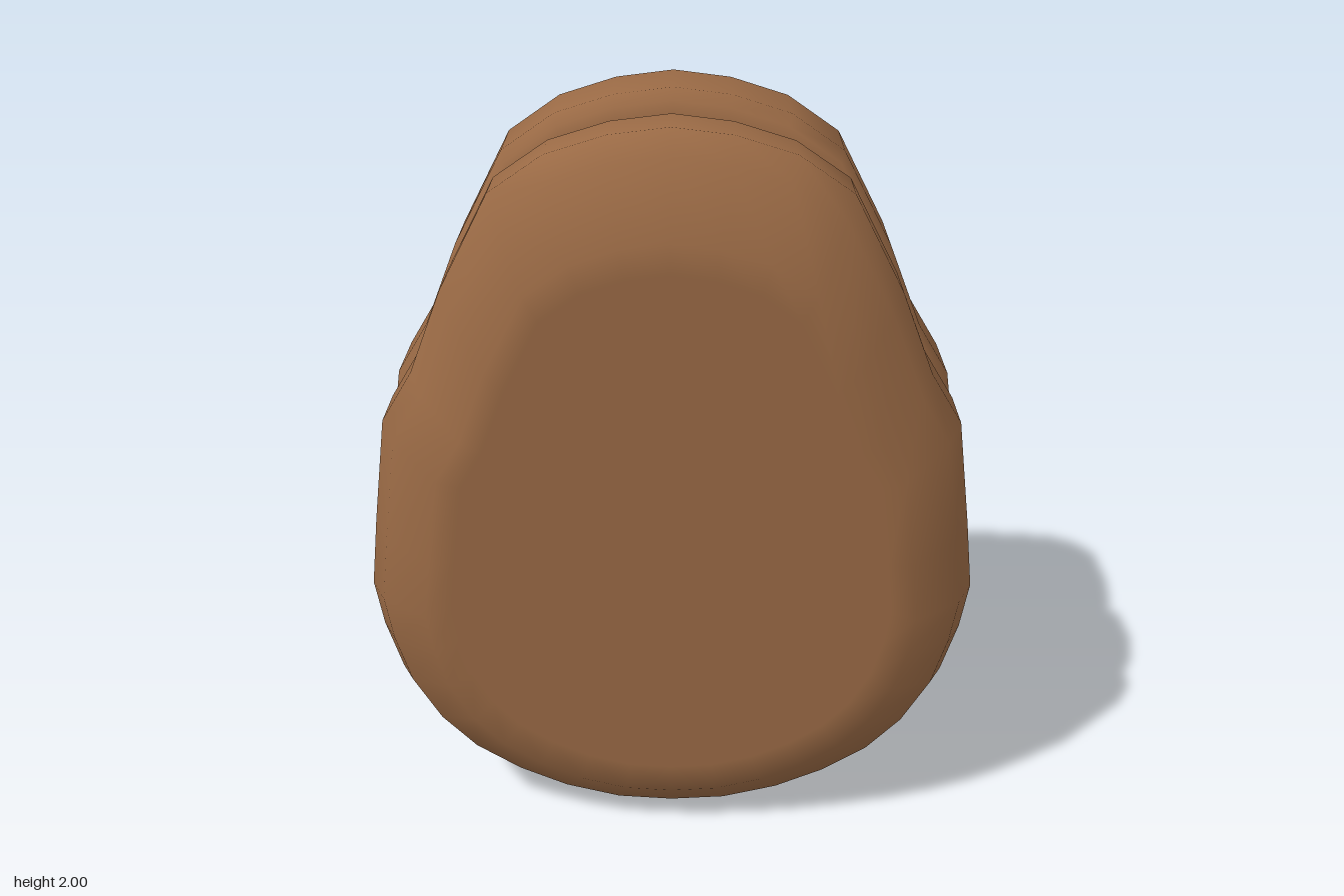
import * as THREE from 'three';
import { RoundedBoxGeometry } from 'three/addons/geometries/RoundedBoxGeometry.js';

const brown = new THREE.MeshStandardMaterial({ color: 0x9a6a45 });
const pink = new THREE.MeshStandardMaterial({ color: 0x8a0f45, side: THREE.DoubleSide });
const ivory = new THREE.MeshStandardMaterial({ color: 0xe8ddd3 });

// Right half of the egg-shaped outline, from the top down
const half = [
  [0, 2], [0.16, 1.98], [0.32, 1.93], [0.465, 1.83], [0.6, 1.57], [0.69, 1.34],
  [0.775, 1.2], [0.815, 0.9], [0.838, 0.7], [0.815, 0.57], [0.77, 0.43], [0.69, 0.3],
  [0.59, 0.2], [0.46, 0.12], [0.32, 0.06], [0.16, 0.02], [0, 0.01],
];
const outline = [...half, ...half.slice(1, -1).reverse().map(([x, y]) => [-x, y])];

// Scale an outline point to a width factor and a vertical range
const fit = ([x, y], sx, y0, y1) => [x * sx, y0 + (y - 0.01) / 1.99 * (y1 - y0)];

// Each shell lies between an inner (biting) surface and an outer surface
const shells = {
  front: {
    flip: false,
    inner: y => 0.02 + Math.max(0, y - 0.7) * 0.096,
    outer: y => 0.425 + (y - 0.12) * 0.05,
    bite: () => 0.027,
    // [width factor, bottom y, top y, depth from inner (0) to outer (1)]
    rings: [
      [0, 0.92, 0.92, 1], [0.4, 0.5, 1.34, 1], [0.7, 0.2, 1.64, 1], [0.78, 0.12, 1.72, 1],
      [0.93, 0.035, 1.915, 0.8], [0.985, 0.005, 1.97, 0.56], [0.99, 0.005, 1.97, 0.1],
      [0.97, 0.02, 1.95, 0.02], [0.945, 0.04, 1.92, 0], [0.915, 0.07, 1.88, 0],
    ],
  },
  back: {
    flip: true,
    inner: y => 0.02 - Math.max(0, y - 0.7) * 0.048,
    outer: () => -0.51,
    bite: y => Math.max(0.01, 0.02 + (y - 1.3) * 0.058),
    rings: [
      [0, 0.945, 0.945, 1], [0.4, 0.5, 1.37, 1], [0.74, 0.21, 1.68, 1], [0.82, 0.14, 1.75, 1],
      [0.955, 0.05, 1.95, 0.81], [1, 0.018, 2, 0.55], [1, 0.015, 1.99, 0.09],
      [0.975, 0.018, 1.96, 0.02], [0.945, 0.04, 1.92, 0], [0.915, 0.07, 1.88, 0],
    ],
  },
};
const lining = [
  [0.915, 0.07, 1.88, 0], [0.86, 0.12, 1.82, 0.04], [0.75, 0.22, 1.7, 0.08],
  [0.4, 0.5, 1.4, 0.08], [0, 0.95, 0.95, 0.08],
];

// Skin a stack of rings
function loft(rings, shell) {
  const n = outline.length, pos = [], index = [];
  for (const [sx, y0, y1, t] of rings)
    for (const p of outline) {
      const [x, y] = fit(p, sx, y0, y1);
      pos.push(x, y, THREE.MathUtils.lerp(shell.inner(y), shell.outer(y), t));
    }
  const tri = (a, b, c) => shell.flip ? index.push(a, c, b) : index.push(a, b, c);
  for (let i = 0; i < rings.length - 1; i++)
    for (let j = 0; j < n; j++) {
      const k = (j + 1) % n, a = i * n + j, b = i * n + k, c = a + n, d = b + n;
      if (rings[i][0] > 0) tri(a, b, c);
      if (rings[i + 1][0] > 0) tri(b, d, c);
    }
  const g = new THREE.BufferGeometry();
  g.setAttribute('position', new THREE.Float32BufferAttribute(pos, 3));
  g.setIndex(index);
  g.computeVertexNormals();
  return g;
}

// Row of rounded teeth following an arch inside the rim
function teethRow(shell) {
  const row = new THREE.Group();
  const side = half.slice(0, 8).map(p => fit(p, 0.83, 0.12, 1.86));
  const arch = [...side.slice(1).reverse().map(([x, y]) => [-x, y]), ...side];
  const curve = new THREE.CatmullRomCurve3(arch.map(([x, y]) => new THREE.Vector3(x, y, 0)));
  const count = 23;
  const geo = new RoundedBoxGeometry(curve.getLength() / (count - 1) * 0.99, 0.09, 0.09, 3, 0.026);
  for (let i = 0; i < count; i++) {
    const u = i / (count - 1), p = curve.getPointAt(u), d = curve.getTangentAt(u);
    const tooth = new THREE.Mesh(geo, ivory);
    tooth.name = 'tooth';
    const out = shell.flip ? 1 : -1;
    tooth.position.set(p.x, p.y, shell.inner(p.y) + out * (shell.bite(p.y) - 0.045));
    tooth.rotation.z = Math.atan2(d.y, d.x);
    row.add(tooth);
  }
  return row;
}

export function createModel() {
  const model = new THREE.Group();
  model.name = 'toothedShell';
  for (const [name, shell] of Object.entries(shells)) {
    const part = new THREE.Group();
    part.name = name + 'Half';
    const body = new THREE.Mesh(loft(shell.rings, shell), brown);
    body.name = name + 'Shell';
    const mouth = new THREE.Mesh(loft(lining, shell), pink);
    mouth.name = name + 'MouthLining';
    const teeth = teethRow(shell);
    teeth.name = name + 'Teeth';
    part.add(body, mouth, teeth);
    model.add(part);
  }
  return model;
}
